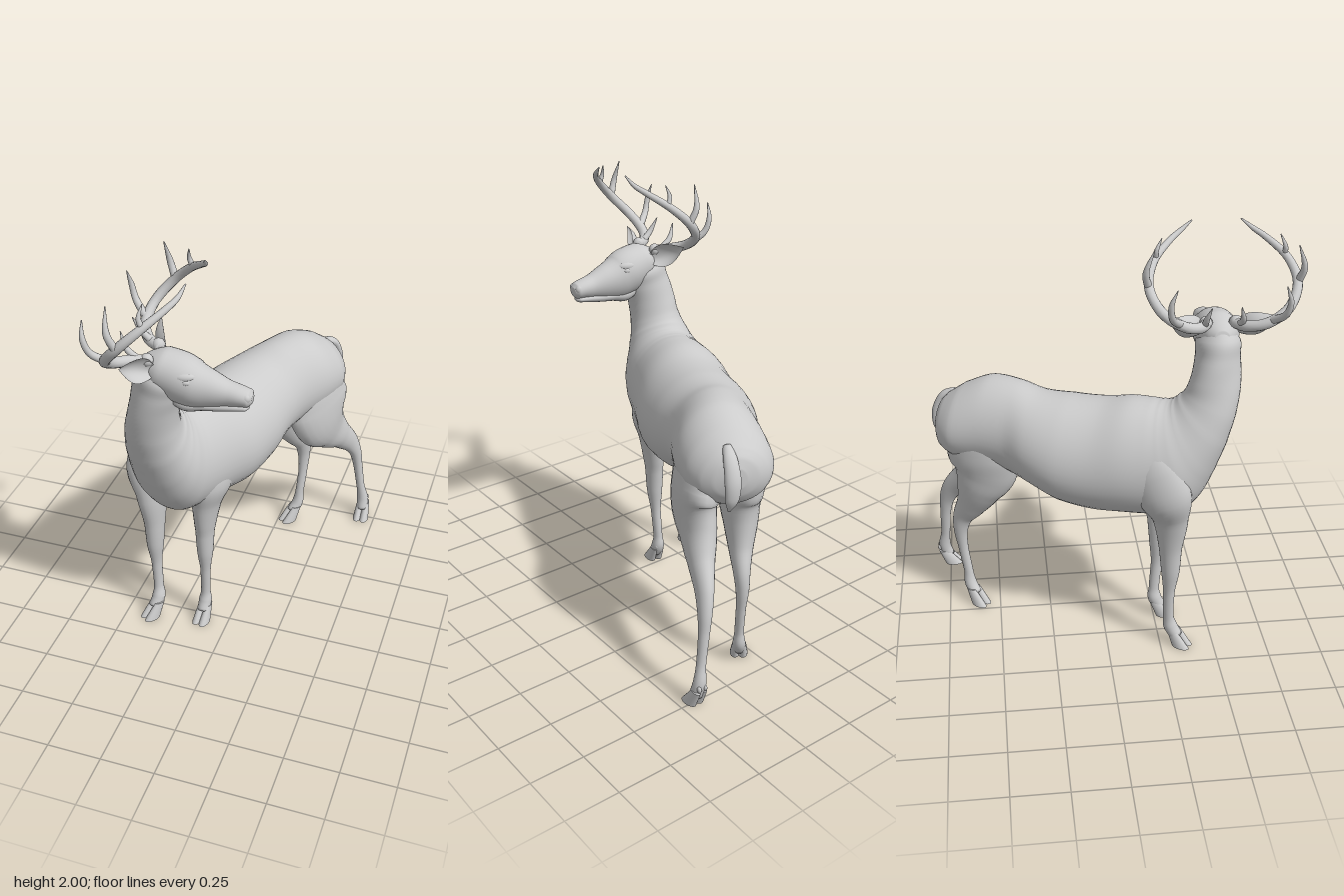
import * as THREE from 'three';
import { ParametricGeometry } from 'three/addons/geometries/ParametricGeometry.js';

const grey = new THREE.MeshStandardMaterial({ color: 0xcccccc });
const thin = new THREE.MeshStandardMaterial({ color: 0xcccccc, side: THREE.DoubleSide });
const MID = 0.49; // z of the head's mirror plane
const BODY = -0.43; // heading of the trunk
const HEAD = Math.PI / 2; // heading of the turned head

function add(parent, name, geometry, material = grey) {
  const mesh = new THREE.Mesh(geometry, material);
  mesh.name = name;
  parent.add(mesh);
  return mesh;
}

// Smooth closed skin through oval sections [x, y, z, halfWidth, halfDepth, heading, pitch].
// Without a pitch the sections stand square to the path; taper narrows their upper side.
function loft(sections, heading = 0, radial = 24, taper = 0) {
  const steps = 6;
  const path = new THREE.CatmullRomCurve3(sections.map((s) => new THREE.Vector3(s[0], s[1], s[2])));
  const size = new THREE.CatmullRomCurve3(sections.map((s) => new THREE.Vector3(s[3], s[4], s[5] ?? heading)));
  const pitch = sections[0].length === 7 && new THREE.SplineCurve(sections.map((s, i) => new THREE.Vector2(i, s[6])));
  const rows = (sections.length - 1) * steps;
  const pos = [], index = [];
  for (let i = 0; i <= rows; i++) {
    const c = path.getPoint(i / rows), q = size.getPoint(i / rows), t = path.getTangent(i / rows);
    if (pitch) {
      const p = pitch.getPoint(i / rows).y;
      t.set(Math.sin(q.z) * Math.cos(p), Math.sin(p), Math.cos(q.z) * Math.cos(p));
    }
    const side = new THREE.Vector3(Math.cos(q.z), 0, -Math.sin(q.z));
    side.addScaledVector(t, -side.dot(t)).normalize();
    const up = new THREE.Vector3().crossVectors(t, side);
    for (let j = 0; j < radial; j++) {
      const a = (j / radial) * Math.PI * 2, w = q.x * (1 - taper * Math.sin(a));
      const p = c.clone().addScaledVector(side, w * Math.cos(a)).addScaledVector(up, q.y * Math.sin(a));
      pos.push(p.x, p.y, p.z);
      if (i < rows) {
        const k = i * radial + j, n = i * radial + ((j + 1) % radial);
        index.push(k, n, n + radial, k, n + radial, k + radial);
      }
    }
  }
  // end caps
  const first = pos.length / 3, last = first + 1, base = rows * radial;
  pos.push(...path.getPoint(0).toArray(), ...path.getPoint(1).toArray());
  for (let j = 0; j < radial; j++) {
    const n = (j + 1) % radial;
    index.push(first, n, j, last, base + j, base + n);
  }
  const g = new THREE.BufferGeometry();
  g.setAttribute('position', new THREE.Float32BufferAttribute(pos, 3));
  g.setIndex(index);
  g.computeVertexNormals();
  return g;
}

function ellipsoid(parent, name, [x, y, z], [a, b, c], turn = 0) {
  const mesh = add(parent, name, new THREE.SphereGeometry(1, 20, 14));
  mesh.position.set(x, y, z);
  mesh.scale.set(a, b, c);
  mesh.rotation.y = turn;
}

// Cloven foot: two sheared toes and two dewclaws
function hoof(parent, name, x, z, heading) {
  const foot = new THREE.Group();
  foot.name = name;
  const shear = new THREE.Matrix4().set(1, 0, 0, 0, 0, 1, 0, 0.04, 0, -0.6, 1.85, 0, 0, 0, 0, 1);
  for (const s of [-1, 1]) {
    const toe = add(foot, 'toe', new THREE.CylinderGeometry(0.014, 0.023, 0.08, 18, 4).applyMatrix4(shear));
    toe.position.x = s * 0.018;
    ellipsoid(foot, 'dewclaw', [s * 0.015, 0.1, -0.042], [0.009, 0.015, 0.013]);
  }
  foot.position.set(x, 0, z);
  foot.rotation.y = heading;
  parent.add(foot);
}

function buildTrunk(g) {
  // one skin from rump to nape, the sections fanning round the withers
  add(g, 'trunkAndNeck', loft([
    [0.208, 1.0, -0.732, 0.04, 0.045, BODY, 0], [0.2, 1.0, -0.718, 0.1, 0.09, BODY, 0],
    [0.185, 0.995, -0.69, 0.15, 0.13, BODY, 0], [0.155, 1.005, -0.62, 0.193, 0.175, BODY, 0],
    [0.11, 1.025, -0.5, 0.2, 0.21, BODY, 0], [0.042, 1.015, -0.38, 0.195, 0.22, BODY, 0],
    [-0.023, 0.99, -0.28, 0.218, 0.222, BODY, 0], [-0.076, 0.96, -0.15, 0.245, 0.25, BODY, 0],
    [-0.127, 0.947, 0, 0.248, 0.265, BODY, 0], [-0.178, 0.962, 0.12, 0.238, 0.275, BODY, 0.03],
    [-0.22, 0.968, 0.235, 0.225, 0.272, BODY, 0.13], [-0.243, 0.98, 0.305, 0.218, 0.264, BODY, 0.25],
    [-0.255, 1.022, 0.355, 0.205, 0.232, BODY, 0.38], [-0.26, 1.087, 0.392, 0.178, 0.19, -0.4, 0.56],
    [-0.263, 1.17, 0.428, 0.146, 0.15, -0.25, 0.85], [-0.262, 1.25, 0.455, 0.122, 0.124, 0.1, 1.18],
    [-0.25, 1.35, 0.474, 0.107, 0.115, 0.7, 1.45], [-0.225, 1.45, 0.486, 0.098, 0.11, 1.3, 1.42],
    [-0.203, 1.53, MID, 0.088, 0.098, HEAD, 1.3], [-0.185, 1.585, MID, 0.05, 0.055, HEAD, 1.1],
  ], BODY, 40, 0.1));
  add(g, 'tail', loft([
    [0.205, 1.12, -0.66, 0.02, 0.02], [0.23, 1.09, -0.712, 0.03, 0.022], [0.245, 1.01, -0.75, 0.035, 0.023],
    [0.25, 0.93, -0.752, 0.03, 0.02], [0.25, 0.87, -0.735, 0.006, 0.006],
  ], BODY));
}

function buildLegs(g) {
  add(g, 'leftFrontLeg', loft([
    [-0.135, 1.09, 0.19, 0.05, 0.07, BODY], [-0.095, 0.97, 0.235, 0.083, 0.13, BODY],
    [-0.082, 0.86, 0.262, 0.085, 0.13, BODY], [-0.098, 0.72, 0.268, 0.062, 0.085, -0.3],
    [-0.11, 0.55, 0.268, 0.043, 0.054], [-0.112, 0.42, 0.268, 0.037, 0.043], [-0.115, 0.3, 0.262, 0.024, 0.027],
    [-0.12, 0.16, 0.252, 0.022, 0.025], [-0.122, 0.1, 0.255, 0.031, 0.033], [-0.124, 0.05, 0.28, 0.03, 0.03],
  ], -0.15));
  hoof(g, 'leftFrontHoof', -0.124, 0.283, -0.15);
  add(g, 'rightFrontLeg', loft([
    [-0.31, 1.09, 0.14, 0.05, 0.07, BODY], [-0.362, 0.97, 0.195, 0.077, 0.13, BODY],
    [-0.382, 0.86, 0.24, 0.085, 0.13, BODY], [-0.365, 0.72, 0.278, 0.062, 0.085],
    [-0.357, 0.55, 0.285, 0.045, 0.054], [-0.358, 0.42, 0.288, 0.038, 0.043], [-0.357, 0.3, 0.285, 0.024, 0.027],
    [-0.352, 0.16, 0.287, 0.022, 0.025], [-0.35, 0.1, 0.298, 0.031, 0.033], [-0.362, 0.05, 0.325, 0.03, 0.03],
  ], -0.5));
  hoof(g, 'rightFrontHoof', -0.364, 0.333, -0.6);
  add(g, 'leftHindLeg', loft([
    [0.15, 1.1, -0.48, 0.07, 0.1, BODY], [0.198, 0.98, -0.482, 0.1, 0.175, BODY],
    [0.22, 0.88, -0.48, 0.098, 0.195, BODY], [0.24, 0.79, -0.492, 0.088, 0.178, -0.35],
    [0.265, 0.69, -0.555, 0.073, 0.122, -0.2], [0.307, 0.6, -0.63, 0.056, 0.075], [0.35, 0.51, -0.707, 0.038, 0.054],
    [0.375, 0.43, -0.743, 0.03, 0.038], [0.39, 0.34, -0.757, 0.024, 0.027], [0.41, 0.2, -0.766, 0.021, 0.023],
    [0.425, 0.11, -0.775, 0.029, 0.03], [0.43, 0.05, -0.76, 0.03, 0.03],
  ], -0.1));
  hoof(g, 'leftHindHoof', 0.43, -0.757, 0);
  add(g, 'rightHindLeg', loft([
    [0.07, 1.1, -0.52, 0.07, 0.1, BODY], [0.036, 0.98, -0.545, 0.1, 0.175, BODY],
    [0.028, 0.88, -0.543, 0.1, 0.18, BODY], [0.03, 0.79, -0.543, 0.09, 0.16, BODY],
    [0.045, 0.69, -0.573, 0.077, 0.115], [0.075, 0.58, -0.615, 0.055, 0.075], [0.105, 0.49, -0.66, 0.038, 0.05],
    [0.111, 0.41, -0.675, 0.03, 0.036], [0.11, 0.3, -0.668, 0.022, 0.025], [0.1, 0.17, -0.65, 0.021, 0.023],
    [0.093, 0.1, -0.643, 0.029, 0.03], [0.072, 0.05, -0.62, 0.03, 0.03],
  ], -0.5));
  hoof(g, 'rightHindHoof', 0.066, -0.613, -0.7);
}

function buildHead(g) {
  add(g, 'skull', loft([
    [-0.285, 1.555, MID, 0.03, 0.03], [-0.26, 1.55, MID, 0.06, 0.06], [-0.2, 1.535, MID, 0.092, 0.102],
    [-0.12, 1.512, MID, 0.096, 0.111], [-0.06, 1.49, MID, 0.088, 0.104], [0.02, 1.48, MID, 0.067, 0.08],
    [0.09, 1.474, MID, 0.051, 0.056], [0.14, 1.472, MID, 0.047, 0.045], [0.175, 1.468, MID, 0.041, 0.038],
    [0.191, 1.467, MID, 0.02, 0.02],
  ], HEAD, 32, -0.1));
  add(g, 'lowerJaw', loft([
    [-0.15, 1.44, MID, 0.05, 0.045], [-0.09, 1.41, MID, 0.058, 0.043], [-0.02, 1.413, MID, 0.05, 0.031],
    [0.05, 1.417, MID, 0.042, 0.026], [0.12, 1.424, MID, 0.036, 0.02], [0.165, 1.427, MID, 0.028, 0.015],
    [0.177, 1.428, MID, 0.01, 0.006],
  ], HEAD));
  for (const s of [-1, 1]) {
    ellipsoid(g, 'eye', [-0.065, 1.54, MID + s * 0.078], [0.018, 0.012, 0.011], s * 0.3);
    ellipsoid(g, 'brow', [-0.075, 1.558, MID + s * 0.064], [0.045, 0.02, 0.021], s * 0.3);
    ellipsoid(g, 'nostril', [0.17, 1.48, MID + s * 0.024], [0.019, 0.02, 0.017]);
    buildEar(g, s);
    buildAntler(g, s);
  }
}

// Cupped leaf opening forwards
function buildEar(g, s) {
  const root = new THREE.Vector3(-0.2, 1.56, 0.07), tip = new THREE.Vector3(-0.285, 1.65, 0.23);
  const across = new THREE.Vector3(0.15, 0.85, -0.5).normalize();
  add(g, 'ear', new ParametricGeometry((u, v, target) => {
    const k = v * 2 - 1, w = 0.014 * (1 - u) + 0.045 * Math.sin(Math.PI * Math.pow(u, 0.85));
    target.lerpVectors(root, tip, u).addScaledVector(across, k * w);
    target.x -= (1 - k * k) * w * 0.8;
    target.z = MID + s * target.z;
  }, 20, 14), thin);
}

function buildAntler(g, s) {
  const antler = new THREE.Group();
  antler.name = s > 0 ? 'rightAntler' : 'leftAntler';
  // points are [x, y, distance from the mirror plane, radius]
  const branch = (name, pts) => add(antler, name,
    loft(pts.map(([x, y, o, r]) => [x, y, MID + s * o, r, r]), -1.05 * s, 12));
  branch('beam', [
    [-0.22, 1.605, 0.055, 0.025], [-0.29, 1.612, 0.095, 0.024], [-0.335, 1.64, 0.175, 0.023],
    [-0.325, 1.7, 0.265, 0.022], [-0.255, 1.785, 0.313, 0.021], [-0.17, 1.865, 0.285, 0.018],
    [-0.09, 1.93, 0.205, 0.014], [-0.058, 1.96, 0.155, 0.011], [-0.042, 1.998, 0.105, 0.003],
  ]);
  branch('browTine', [[-0.265, 1.61, 0.075, 0.016], [-0.315, 1.655, 0.078, 0.013], [-0.345, 1.72, 0.062, 0.002]]);
  branch('rearTine', [[-0.335, 1.65, 0.19, 0.018], [-0.4, 1.705, 0.235, 0.015], [-0.422, 1.77, 0.245, 0.012], [-0.43, 1.84, 0.222, 0.002]]);
  branch('middleTine', [[-0.25, 1.785, 0.315, 0.017], [-0.278, 1.86, 0.33, 0.014], [-0.29, 1.96, 0.298, 0.002]]);
  branch('frontTine', [[-0.155, 1.875, 0.275, 0.013], [-0.17, 1.915, 0.272, 0.01], [-0.162, 1.965, 0.25, 0.002]]);
  ellipsoid(antler, 'burr', [-0.235, 1.61, MID + s * 0.065], [0.027, 0.028, 0.027]);
  g.add(antler);
}

export function createModel() {
  const deer = new THREE.Group();
  deer.name = 'deer';
  buildTrunk(deer);
  buildLegs(deer);
  buildHead(deer);
  return deer;
}
